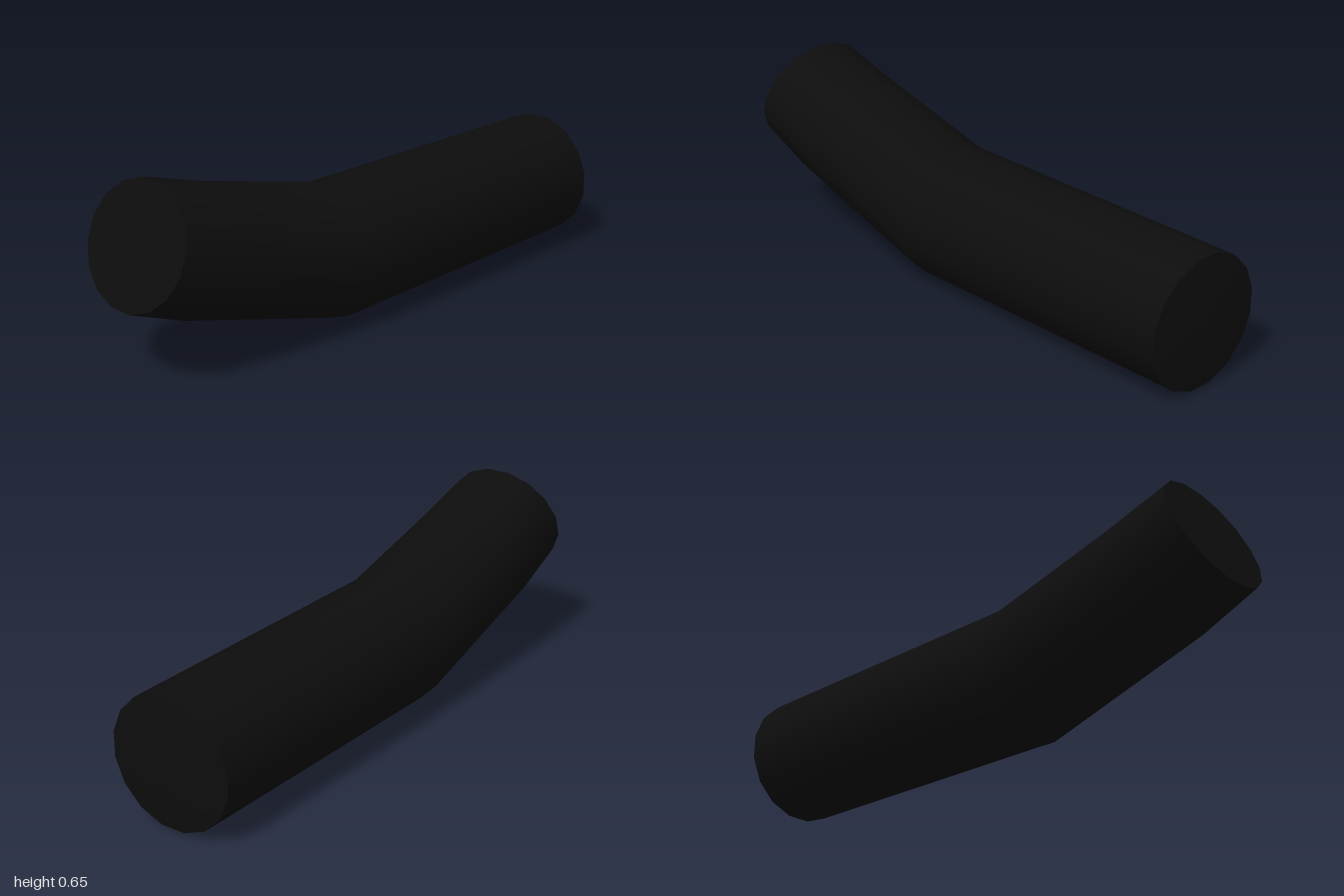
import * as THREE from 'three';

const SIDES = 16;

// Skin a row of elliptical rings running from -x to +x.
// Each ring: [topX, topY, bottomX, bottomY, halfWidth]
function loft(rings) {
  const pos = [], index = [];
  const k = 1 / Math.cos(Math.PI / SIDES); // corner radius from flat-to-flat size
  for (const [tx, ty, bx, by, w] of rings) {
    for (let i = 0; i < SIDES; i++) {
      const a = ((i + 0.5) / SIDES) * Math.PI * 2;
      const c = (Math.cos(a) * k) / 2;
      pos.push((tx + bx) / 2 + (tx - bx) * c, (ty + by) / 2 + (ty - by) * c, w * k * Math.sin(a));
    }
  }
  for (let s = 0; s < rings.length - 1; s++) {
    for (let i = 0; i < SIDES; i++) {
      const a = s * SIDES + i, b = s * SIDES + ((i + 1) % SIDES);
      index.push(a, b, a + SIDES, b, b + SIDES, a + SIDES);
    }
  }
  const geo = new THREE.BufferGeometry();
  geo.setAttribute('position', new THREE.Float32BufferAttribute(pos, 3));
  geo.setIndex(index);
  geo.computeVertexNormals();
  return geo;
}

// Shrink a ring about its centre and shift it along x
function inset([tx, ty, bx, by, w], scale, dx = 0) {
  const cx = (tx + bx) / 2, cy = (ty + by) / 2;
  const f = (v, c) => c + (v - c) * scale;
  return [f(tx, cx) + dx, f(ty, cy), f(bx, cx) + dx, f(by, cy), w * scale];
}

export function createModel() {
  const group = new THREE.Group();
  group.name = 'bentTube';
  const material = new THREE.MeshStandardMaterial({ color: 0x0d0d0d });
  const add = (name, rings) => {
    const mesh = new THREE.Mesh(loft(rings), material);
    mesh.name = name;
    group.add(mesh);
  };

  // Raised end, two bends, then the long straight run
  const rings = [
    [-0.86, 0.655, -1, 0.275, 0.22],
    [-0.62, 0.58, -0.79, 0.19, 0.229],
    [-0.15, 0.46, -0.16, 0.0, 0.23],
    [0.985, 0.452, 0.985, 0.013, 0.222],
  ];
  add('tubeBody', rings);

  // Flat cap on the raised end
  add('raisedEndCap', [inset(rings[0], 0), rings[0]]);

  // Slightly domed cap on the straight end
  const end = rings[3];
  add('straightEndCap', [end, inset(end, 0.65, 0.011), inset(end, 0, 0.015)]);

  return group;
}
